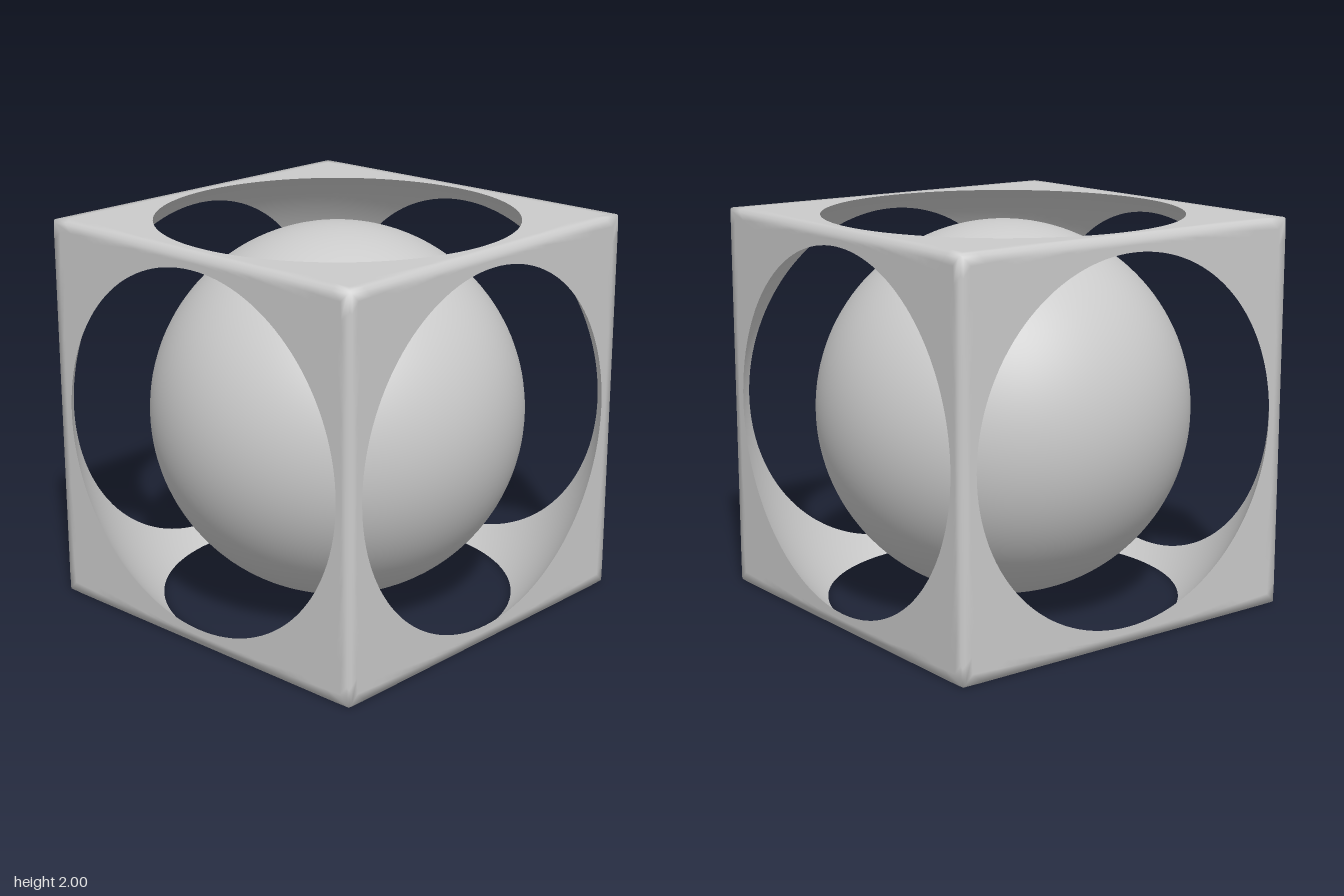
import * as THREE from 'three';

const HOLE = 0.916;                     // radius of the round opening in each face
const CAVITY = Math.hypot(1, HOLE);     // radius of the hollow inside the cube
const BEVEL = 0.015;                    // rounding of the cube edges
const SOFT = 0.05;                      // width of the soft shading along the edges
const SEGMENTS = 128;

// Pull a point of the sharp cube onto a rounded one; also gives the normal
function roundOff(p, radius) {
  const lim = new THREE.Vector3().setScalar(1 - radius);
  const core = p.clone().clamp(lim.clone().negate(), lim);
  const normal = p.clone().sub(core).normalize();
  return { point: core.addScaledVector(normal, radius), normal };
}

// Points of one +z face, from the round opening out to the square border
function facePoint(angle, row, rows, bevelRows) {
  const c = Math.cos(angle), s = Math.sin(angle);
  const toSquare = 1 / Math.max(Math.abs(c), Math.abs(s));
  const r = row <= rows
    ? THREE.MathUtils.lerp(HOLE, (1 - BEVEL) * toSquare, row / rows)
    : (1 - BEVEL + BEVEL * (row - rows) / bevelRows) * toSquare;
  return new THREE.Vector3(c * r, s * r, 1);
}

// One side of the frame: flat outer skin, or the same patch cast onto the cavity
function faceGeometry(inner) {
  const rows = 8, bevelRows = 4, total = rows + bevelRows;
  const positions = [], normals = [], index = [];
  for (let i = 0; i <= SEGMENTS; i++) {
    for (let j = 0; j <= total; j++) {
      const p = facePoint((i / SEGMENTS) * Math.PI * 2, j, rows, bevelRows);
      let point, normal;
      if (inner) {
        normal = p.clone().normalize().negate();
        point = normal.clone().multiplyScalar(-CAVITY);
      } else {
        point = roundOff(p, BEVEL).point;
        normal = roundOff(p, SOFT).normal;
      }
      positions.push(...point.toArray());
      normals.push(...normal.toArray());
      if (i < SEGMENTS && j < total) {
        const a = i * (total + 1) + j, b = a + 1, d = a + total + 1, e = d + 1;
        if (inner) index.push(a, e, b, a, d, e);
        else index.push(a, b, e, a, e, d);
      }
    }
  }
  const geometry = new THREE.BufferGeometry();
  geometry.setAttribute('position', new THREE.Float32BufferAttribute(positions, 3));
  geometry.setAttribute('normal', new THREE.Float32BufferAttribute(normals, 3));
  geometry.setIndex(index);
  return geometry;
}

export function createModel() {
  const material = new THREE.MeshStandardMaterial({ color: 0xcccccc });
  const model = new THREE.Group();
  model.name = 'ballInCube';

  // Hollow cube frame, six identical sides
  const frame = new THREE.Group();
  frame.name = 'cubeFrame';
  frame.position.y = 1;
  const outer = faceGeometry(false), inner = faceGeometry(true);
  const H = Math.PI / 2;
  const sides = {
    front: [0, 0], left: [0, H], back: [0, 2 * H], right: [0, -H], top: [-H, 0], bottom: [H, 0],
  };
  for (const [name, [rx, ry]] of Object.entries(sides)) {
    const side = new THREE.Group();
    side.name = name + 'Side';
    side.rotation.set(rx, ry, 0);
    const skin = new THREE.Mesh(outer, material);
    skin.name = name + 'OuterFace';
    const hollow = new THREE.Mesh(inner, material);
    hollow.name = name + 'CavityWall';
    side.add(skin, hollow);
    frame.add(side);
  }
  model.add(frame);

  // Loose ball in the middle
  const ball = new THREE.Mesh(new THREE.SphereGeometry(0.96, 96, 64), material);
  ball.name = 'innerBall';
  ball.position.y = 1;
  model.add(ball);

  return model;
}
